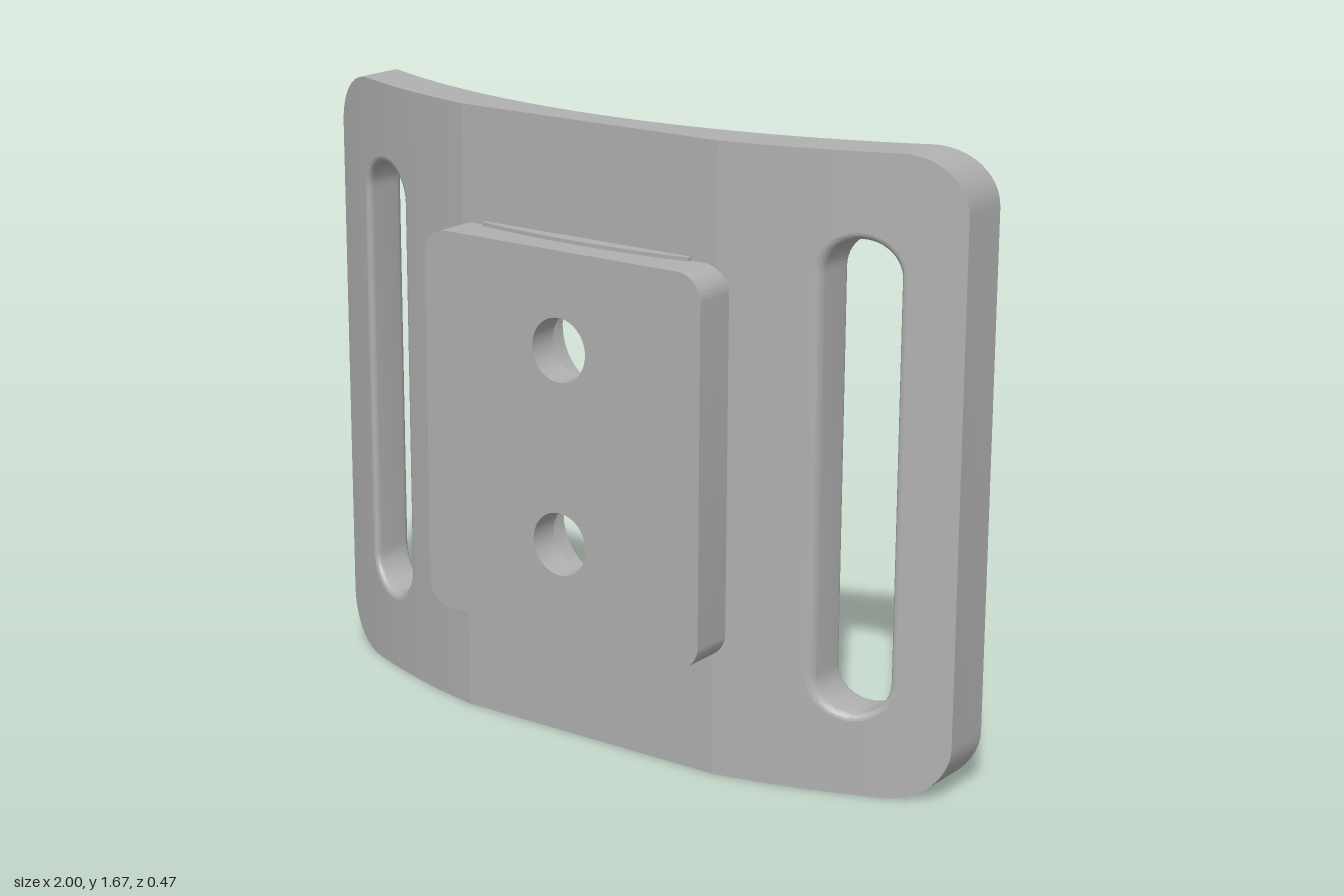
import * as THREE from 'three';
import { toCreasedNormals } from 'three/addons/utils/BufferGeometryUtils.js';

const H = 1.667, CORNER = 0.15, MID = H / 2;
const R_BACK = 2.05, R_FRONT = 2.178, Z_AXIS = -2.025, Z_FLAT = 0.115;
const FILLET = 0.018, BORE = 0.15, HOLE = 0.085;

// Plate surfaces: two concentric arcs, the front one cut flat in the middle
const zBack = x => Z_AXIS + Math.sqrt(R_BACK ** 2 - x * x);
const zArc = x => Z_AXIS + Math.sqrt(R_FRONT ** 2 - x * x);
const zFront = x => Math.min(Z_FLAT, zArc(x));

// Openings as upright capsules (half = half length of the straight part)
const slots = [-1, 1].map(s => ({ cx: s * 0.76, cy: MID, r: 0.092 + FILLET, half: 0.523 }));
const bores = [0.575, 1.095].map(cy => ({ cx: 0, cy, r: BORE, half: 0 }));
const openings = [...bores, ...slots];
const reach = (o, x) => o.half + Math.sqrt(Math.max(0, o.r ** 2 - (x - o.cx) ** 2));
const rimLow = x => {
  const d = Math.max(0, Math.abs(x) - (1 - CORNER));
  return CORNER - Math.sqrt(Math.max(0, CORNER ** 2 - d * d));
};

function geometryFrom(positions, crease) {
  const g = new THREE.BufferGeometry();
  g.setAttribute('position', new THREE.Float32BufferAttribute(positions, 3));
  return toCreasedNormals(g, crease);
}

function quad(out, a, b, c, d, flip) {
  const tris = flip ? [a, c, b, a, d, c] : [a, b, c, a, c, d];
  tris.forEach(p => out.push(...p));
}

// All x positions at which the curved faces are divided
function columns() {
  const xs = new Set();
  const add = x => xs.add(Math.round(x * 1e4) / 1e4);
  for (let i = 0; i <= 40; i++) add(-1 + i / 20);
  for (const o of openings) for (let i = 0; i <= 24; i++) add(o.cx + o.r * Math.cos(Math.PI * i / 24));
  for (let i = 0; i <= 12; i++) {
    const x = 1 - CORNER + CORNER * Math.sin(Math.PI / 2 * i / 12);
    add(x); add(-x);
  }
  const flat = Math.sqrt(R_FRONT ** 2 - (Z_FLAT - Z_AXIS) ** 2);
  add(flat); add(-flat);
  return [...xs].sort((a, b) => a - b);
}

// Curved face made of upright strips that stop at the openings
function plateFace(xs, zOf, flip) {
  const out = [];
  for (let i = 0; i < xs.length - 1; i++) {
    const a = xs[i], b = xs[i + 1], m = (a + b) / 2;
    const edges = [rimLow];
    for (const o of openings) {
      if (Math.abs(m - o.cx) < o.r) edges.push(x => o.cy - reach(o, x), x => o.cy + reach(o, x));
    }
    edges.push(x => H - rimLow(x));
    for (let k = 0; k < edges.length; k += 2) {
      const lo = edges[k], hi = edges[k + 1];
      quad(out, [a, lo(a), zOf(a)], [b, lo(b), zOf(b)], [b, hi(b), zOf(b)], [a, hi(a), zOf(a)], flip);
    }
  }
  return geometryFrom(out, 0.16);
}

// Wall through the plate: each loop has flat points and a depth from 0 (back) to 1 (front)
function wall(loops, flip) {
  const out = [];
  const at = (loop, i) => {
    const [x, y] = loop.points[i % loop.points.length];
    return [x, y, THREE.MathUtils.lerp(zBack(x), zFront(x), loop.depth)];
  };
  for (let k = 0; k < loops.length - 1; k++) {
    for (let i = 0; i < loops[k].points.length; i++) {
      quad(out, at(loops[k], i), at(loops[k], i + 1), at(loops[k + 1], i + 1), at(loops[k + 1], i), flip);
    }
  }
  return geometryFrom(out, 0.5);
}

function capsule(o, inset) {
  const points = [];
  for (const end of [0, 1]) {
    for (let i = 0; i <= 24; i++) {
      const t = Math.PI * (end + i / 24);
      points.push([o.cx + (o.r - inset) * Math.cos(t), o.cy + (end ? -o.half : o.half) + (o.r - inset) * Math.sin(t)]);
    }
  }
  return points;
}

// Slot wall with rounded edges at the back and front
function slotLoops(o) {
  const loops = [], f = FILLET / 0.12, n = 6;
  for (let i = 0; i <= n; i++) {
    const t = Math.PI / 2 * i / n;
    loops.push({ points: capsule(o, FILLET * Math.sin(t)), depth: f * (1 - Math.cos(t)) });
  }
  return [...loops, ...loops.map(l => ({ points: l.points, depth: 1 - l.depth })).reverse()];
}

// Rounded block layer with two round holes
function blockLayer(z0, z1, holeRadius) {
  const w = 0.44, y0 = 0.32, y1 = 1.355, r = 0.07;
  const s = new THREE.Shape();
  s.absarc(w - r, y0 + r, r, -Math.PI / 2, 0);
  s.absarc(w - r, y1 - r, r, 0, Math.PI / 2);
  s.absarc(-w + r, y1 - r, r, Math.PI / 2, Math.PI);
  s.absarc(-w + r, y0 + r, r, Math.PI, Math.PI * 1.5);
  for (const b of bores) s.holes.push(new THREE.Path().absarc(0, b.cy, holeRadius, 0, Math.PI * 2, true));
  const g = new THREE.ExtrudeGeometry(s, { depth: z1 - z0, bevelEnabled: false, curveSegments: 24 });
  return toCreasedNormals(g.translate(0, 0, z0), 0.5);
}

// Thin curved lip standing just proud of the block's top or bottom edge
function lip(y0, y1) {
  const w = 0.33, s = new THREE.Shape();
  s.moveTo(-w, -0.1);
  for (let i = 0; i <= 16; i++) {
    const x = -w + 2 * w * i / 16;
    s.lineTo(x, -zArc(x));
  }
  s.lineTo(w, -0.1);
  const g = new THREE.ExtrudeGeometry(s, { depth: y1 - y0, bevelEnabled: false });
  return toCreasedNormals(g.rotateX(-Math.PI / 2).translate(0, y0, 0), 0.5);
}

export function createModel() {
  const model = new THREE.Group();
  model.name = 'slottedMountingPlate';
  const grey = new THREE.MeshStandardMaterial({ color: 0xb0b0b0 });
  grey.name = 'grey';
  const add = (name, geometry, parent = model) => {
    const mesh = new THREE.Mesh(geometry, grey);
    mesh.name = name;
    parent.add(mesh);
  };

  // Curved plate
  const plate = new THREE.Group();
  plate.name = 'curvedPlate';
  model.add(plate);
  const xs = columns();
  add('plateFront', plateFace(xs, zFront, false), plate);
  add('plateBack', plateFace(xs, zBack, true), plate);
  const rim = [...xs.map(x => [x, rimLow(x)]), ...[...xs].reverse().map(x => [x, H - rimLow(x)])];
  add('plateRim', wall([{ points: rim, depth: 0 }, { points: rim, depth: 1 }], false), plate);
  slots.forEach((o, i) => add(i ? 'leftStrapSlot' : 'rightStrapSlot', wall(slotLoops(o), true), plate));
  bores.forEach((o, i) => {
    const points = capsule(o, 0);
    add(i ? 'upperCounterbore' : 'lowerCounterbore', wall([{ points, depth: 0 }, { points, depth: 1 }], true), plate);
  });

  // Mounting block: wide bores behind, narrow screw holes in front
  add('blockBase', blockLayer(0.1, 0.145, BORE));
  add('blockPad', blockLayer(0.145, 0.23, HOLE));
  add('upperLip', lip(1.345, 1.365));
  add('lowerLip', lip(0.31, 0.33));
  return model;
}
